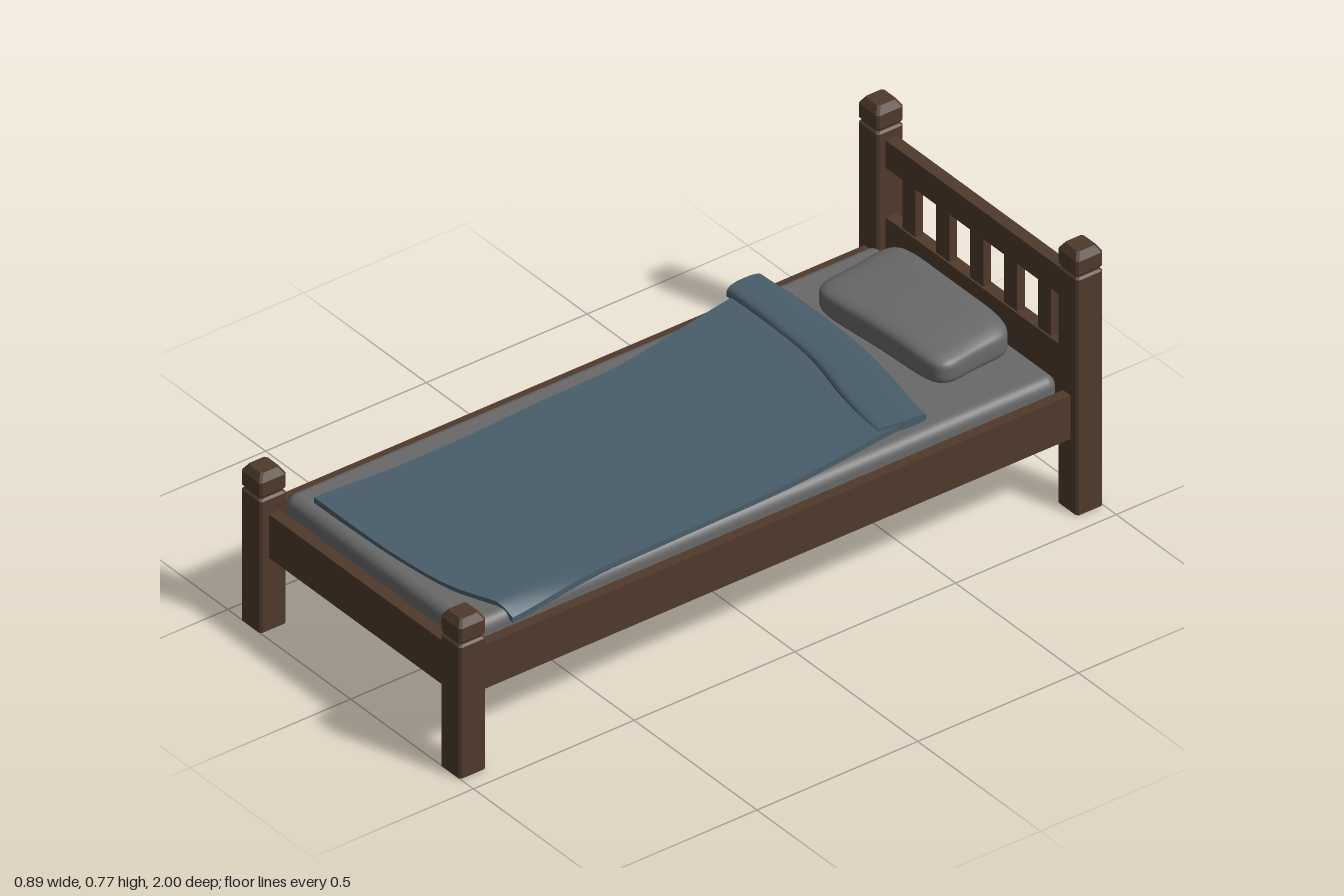
import * as THREE from 'three';
import { mergeVertices } from 'three/addons/utils/BufferGeometryUtils.js';
import { RoundedBoxGeometry } from 'three/addons/geometries/RoundedBoxGeometry.js';

export function createModel() {
  const bed = new THREE.Group();
  bed.name = 'bed';
  const paint = (name, color) => Object.assign(new THREE.MeshStandardMaterial({ color }), { name });
  const wood = paint('dark wood', 0x4f3a2c);
  const linen = paint('grey linen', 0x696969);
  const wool = paint('blue wool', 0x485d69);

  const add = (name, geometry, material, x = 0, y = 0, z = 0) => {
    const mesh = new THREE.Mesh(geometry, material);
    mesh.name = name;
    mesh.position.set(x, y, z);
    bed.add(mesh);
    return mesh;
  };
  // Wooden board given by its size, bottom height and centre
  const board = (name, w, h, d, x, y0, z) =>
    add(name, new THREE.BoxGeometry(w, h, d), wood, x, y0 + h / 2, z);

  // Square post with chamfered corners: levels are [height, half width]
  const postGeometry = (levels) => {
    const c = 0.006, verts = [];
    const rings = levels.map(([y, h]) => [
      [h, -h + c], [h, h - c], [h - c, h], [-h + c, h],
      [-h, h - c], [-h, -h + c], [-h + c, -h], [h - c, -h],
    ].map(([x, z]) => [x, y, z]));
    for (let r = 0; r < rings.length - 1; r++) {
      for (let i = 0; i < 8; i++) {
        const j = (i + 1) % 8, a = rings[r], b = rings[r + 1];
        verts.push(a[i], b[i], b[j], a[i], b[j], a[j]);
      }
    }
    const bottom = rings[0], top = rings[rings.length - 1];
    for (let i = 1; i < 7; i++) {
      verts.push(bottom[0], bottom[i], bottom[i + 1], top[0], top[i + 1], top[i]);
    }
    const g = new THREE.BufferGeometry();
    g.setAttribute('position', new THREE.Float32BufferAttribute(verts.flat(), 3));
    g.computeVertexNormals();
    return g;
  };

  // Corner posts with a neck groove and a bevelled cap
  for (const [name, height, z] of [['headPost', 0.775, -0.96], ['footPost', 0.465, 0.96]]) {
    const geometry = postGeometry([
      [0, 0.041], [height - 0.076, 0.041], [height - 0.07, 0.036], [height - 0.066, 0.036],
      [height - 0.06, 0.041], [height - 0.02, 0.041], [height, 0.028],
    ]);
    for (const x of [-0.406, 0.406]) add(name, geometry, wood, x, 0, z);
  }

  // Headboard and footboard
  board('headboardTopRail', 0.74, 0.082, 0.035, 0, 0.595, -0.96);
  board('headboardPanel', 0.74, 0.232, 0.035, 0, 0.215, -0.96);
  for (let i = -2; i <= 2; i++) board('headboardSlat', 0.054, 0.16, 0.024, i * 0.138, 0.441, -0.96);
  board('footboard', 0.74, 0.13, 0.035, 0, 0.215, 0.957);

  // Side rails and the slats under the mattress
  for (const x of [-0.404, 0.404]) board('sideRail', 0.03, 0.13, 1.86, x, 0.215, 0);
  for (let i = 0; i < 8; i++) board('bedSlat', 0.79, 0.032, 0.08, 0, 0.226, -0.865 + i * 0.247);

  // Mattress
  add('mattress', new RoundedBoxGeometry(0.755, 0.12, 1.84, 5, 0.03), linen, -0.003, 0.318, 0);

  // Pillow: a rounded block, skewed in plan and thicker at the back
  const pillow = new THREE.BoxGeometry(2, 2, 2, 28, 12, 20);
  pillow.deleteAttribute('uv');
  pillow.deleteAttribute('normal');
  const pp = pillow.attributes.position;
  const p = new THREE.Vector3();
  for (let i = 0; i < pp.count; i++) {
    p.fromBufferAttribute(pp, i);
    const n = 5;
    p.divideScalar((Math.abs(p.x) ** n + Math.abs(p.y) ** n + Math.abs(p.z) ** n) ** (1 / n));
    const { x, y, z } = p;
    const lift = y > 0 ? 0.058 - 0.009 * x * x - 0.01 * z : 0.046;
    pp.setXYZ(i,
      x * (0.243 + 0.014 * z * z) + 0.012 * z,
      y * lift,
      z * (0.132 + 0.013 * x * x) - 0.009 * x * (1 + z));
  }
  const pillowGeometry = mergeVertices(pillow, 1e-5);
  pillowGeometry.computeVertexNormals();
  add('pillow', pillowGeometry, linen, 0.007, 0.425, -0.752);

  // Cloth slab between four curved edges, each a list of evenly spaced values
  const edge = (values) => {
    const curve = new THREE.SplineCurve(values.map((v, i) => new THREE.Vector2(i, v)));
    return (t) => curve.getPoint(t).y;
  };
  const cloth = (name, left, right, back, front, topAt, bottomAt) => {
    const g = new THREE.BoxGeometry(1, 1, 1, 28, 4, 48);
    const [l, r, b, f] = [left, right, back, front].map(edge);
    const pos = g.attributes.position;
    for (let i = 0; i < pos.count; i++) {
      const u = pos.getX(i) + 0.5, s = pos.getY(i) + 0.5, v = pos.getZ(i) + 0.5;
      const x = THREE.MathUtils.lerp(l(v), r(v), u);
      const z = THREE.MathUtils.lerp(b(u), f(u), v);
      pos.setXYZ(i, x, THREE.MathUtils.lerp(bottomAt(u, v, x, z), topAt(u, v, x, z), s), z);
    }
    g.computeVertexNormals();
    return add(name, g, wool);
  };

  // Blanket, sagging over the mattress edge at its front left corner
  const ripple = (x, z) => 0.002 * Math.sin(9 * x + 5 * z) + 0.0015 * Math.sin(7 * z - 4 * x);
  const sag = (x, z) => 0.032 * THREE.MathUtils.smoothstep(x, 0.34, 0.39) * THREE.MathUtils.smoothstep(z, 0.45, 0.85);
  cloth('blanket',
    [-0.385, -0.345, -0.307, -0.303, -0.292, -0.288, -0.3],
    [0.325, 0.348, 0.363, 0.368, 0.373, 0.378, 0.385],
    [-0.52, -0.53, -0.52, -0.5, -0.46],
    [0.885, 0.882, 0.873, 0.85, 0.79],
    (u, v, x, z) => 0.391 + ripple(x, z) - sag(x, z),
    (u, v, x, z) => 0.375 - sag(x, z));

  // Turned-back fold with a rounded section
  const bulge = (v) => Math.sqrt(Math.max(0, 1 - Math.abs(2 * v - 1) ** 4));
  cloth('blanketFold',
    [-0.4, -0.403, -0.4],
    [0.33, 0.328, 0.315],
    [-0.588, -0.6, -0.597, -0.572, -0.54],
    [-0.475, -0.475, -0.465, -0.425, -0.4],
    (u, v, x) => 0.394 + (0.019 - 0.009 * u) * bulge(v) + 0.0015 * Math.sin(14 * x),
    (u, v) => 0.384 - 0.007 * bulge(v));

  return bed;
}
